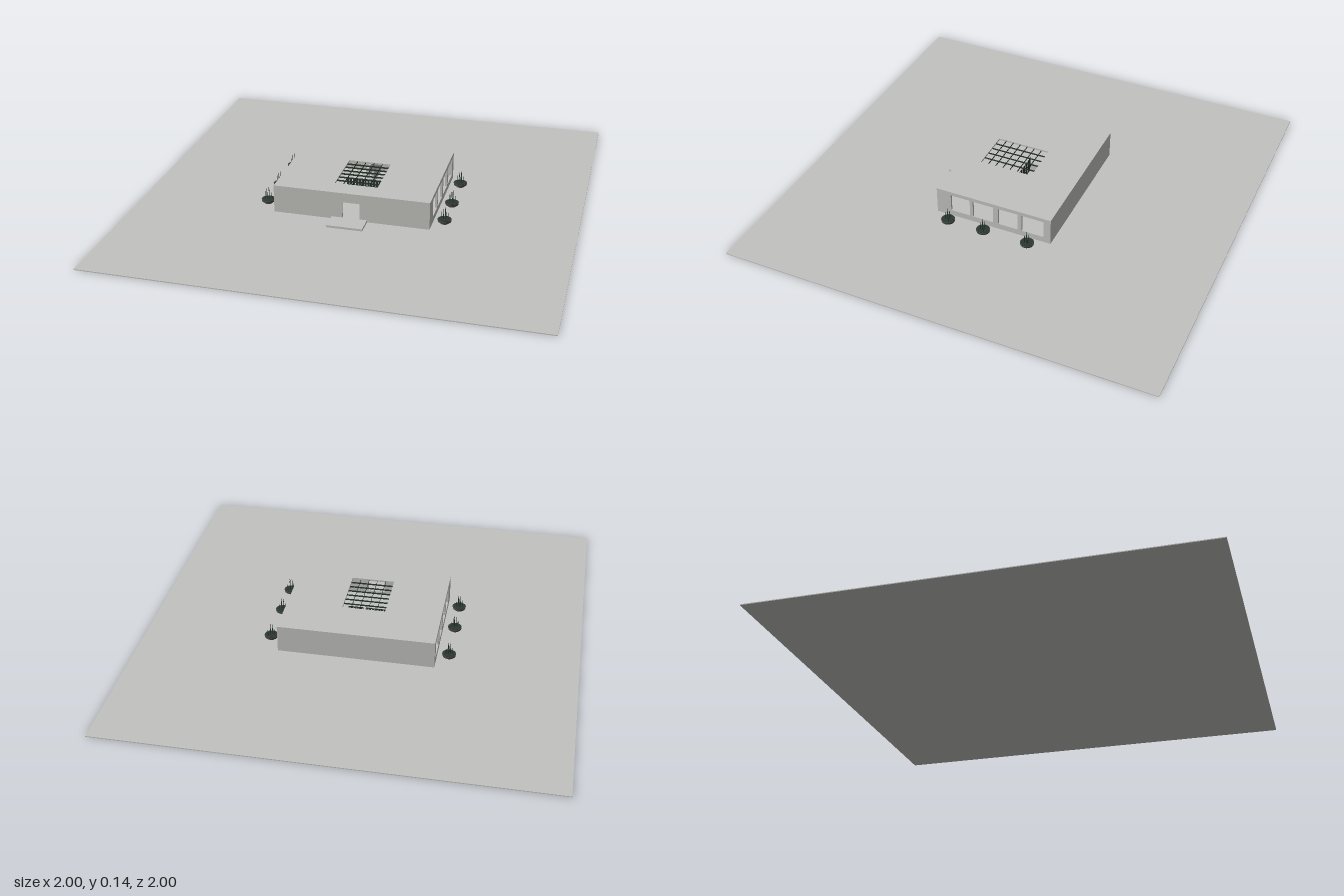
import * as THREE from 'three';

const mat = (name, color, side = THREE.FrontSide) => {
  const m = new THREE.MeshStandardMaterial({ color, side });
  m.name = name;
  return m;
};

export function createModel() {
  const model = new THREE.Group();
  model.name = 'pavilion';
  const concrete = mat('concrete', 0xc2c2bf);
  const leaf = mat('darkGreen', 0x2b382f, THREE.DoubleSide);
  const stem = mat('darkGrey', 0x4a4c4a);

  const add = (name, geo, material, x = 0, y = 0, z = 0, parent = model) => {
    const mesh = new THREE.Mesh(geo, material);
    mesh.name = name;
    mesh.position.set(x, y, z);
    parent.add(mesh);
    return mesh;
  };
  const box = (name, x0, x1, y0, y1, z0, z1, material = concrete) =>
    add(name, new THREE.BoxGeometry(x1 - x0, y1 - y0, z1 - z0), material,
      (x0 + x1) / 2, (y0 + y1) / 2, (z0 + z1) / 2);

  // Flat panel with rectangular holes, given as [u0, u1, v0, v1]
  const rect = (path, [u0, u1, v0, v1]) => {
    path.moveTo(u0, v0);
    path.lineTo(u1, v0);
    path.lineTo(u1, v1);
    path.lineTo(u0, v1);
    path.closePath();
    return path;
  };
  const panel = (outer, holes, depth) => {
    const shape = rect(new THREE.Shape(), outer);
    holes.forEach(h => shape.holes.push(rect(new THREE.Path(), h)));
    return new THREE.ExtrudeGeometry(shape, { depth, bevelEnabled: false });
  };

  // Ground and entrance step
  box('ground', -1, 1, 0, 0.004, -1, 1);
  box('entranceStep', -0.09, 0.075, 0.004, 0.014, 0.29, 0.38);

  // Front wall with a doorway, plain back wall
  add('frontWall', panel([-0.36, 0.36, 0.004, 0.127], [[-0.04, 0.04, 0.014, 0.09]], 0.01), concrete, 0, 0, 0.28);
  box('backWall', -0.36, 0.36, 0.004, 0.127, -0.27, -0.26);

  // Side walls with four windows each
  const windows = [[0.125, 0.22], [0.01, 0.11], [-0.11, -0.015], [-0.235, -0.13]]
    .map(([a, b]) => [-b, -a, 0.032, 0.117]);
  for (const x of [0.35, -0.36]) {
    const wall = add('sideWall', panel([-0.28, 0.26, 0.004, 0.127], windows, 0.01), concrete, x, 0, 0);
    wall.rotation.y = Math.PI / 2;
  }

  // Roof with its skylight opening
  const roof = add('roof', panel([-0.36, 0.36, -0.29, 0.27], [[-0.1, 0.1, -0.195, 0.06]], 0.008), concrete, 0, 0.127, 0);
  roof.rotation.x = -Math.PI / 2;

  // Thin upright slats in the skylight
  for (let i = 1; i < 7; i++) {
    add('skylightSlat', new THREE.PlaneGeometry(0.2, 0.008), leaf, 0, 0.131, -0.06 + i * 0.255 / 7);
  }
  for (let i = 1; i < 5; i++) {
    const slat = add('skylightCrossSlat', new THREE.PlaneGeometry(0.255, 0.008), leaf, -0.1 + i * 0.04, 0.131, 0.0675);
    slat.rotation.y = Math.PI / 2;
  }

  // Back room partitions
  box('partition', -0.005, 0.005, 0.004, 0.127, -0.26, -0.12);
  box('counter', -0.005, 0.005, 0.08, 0.127, -0.12, -0.015);

  // Barred screen facing the doorway
  for (let i = 0; i <= 12; i++) {
    add('screenBar', new THREE.PlaneGeometry(0.011, 0.072), leaf, -0.084 + i * 0.014, 0.05, 0.025);
  }
  for (const y of [0.016, 0.05, 0.084]) {
    add('screenRail', new THREE.PlaneGeometry(0.18, 0.005), leaf, 0, y, 0.0255);
  }

  // Octagonal floor ring with short outer marks
  const ring = add('floorRing', new THREE.RingGeometry(0.032, 0.035, 8), leaf, 0.02, 0.006, 0.025);
  ring.rotation.x = -Math.PI / 2;
  for (let i = 0; i < 16; i++) {
    const a = i * Math.PI / 8;
    const mark = add('ringMark', new THREE.BoxGeometry(0.008, 0.003, 0.003), leaf,
      0.02 + 0.048 * Math.cos(a), 0.006, 0.025 + 0.048 * Math.sin(a));
    mark.rotation.y = -a;
  }

  // Round planters along both sides
  const planter = new THREE.Group();
  planter.name = 'planter';
  add('planterFoot', new THREE.CylinderGeometry(0.018, 0.018, 0.01, 16), stem, 0, 0.009, 0, planter);
  add('planterDish', new THREE.CylinderGeometry(0.032, 0.03, 0.01, 20), stem, 0, 0.019, 0, planter);
  add('planterSoil', new THREE.CylinderGeometry(0.029, 0.029, 0.002, 20), leaf, 0, 0.0245, 0, planter);
  for (let i = 0; i < 6; i++) {
    const a = i * 2.4;
    const r = 0.004 + 0.0025 * i;
    const h = 0.058 - 0.006 * i;
    add('stalk', new THREE.CylinderGeometry(0.0012, 0.002, h, 5), leaf,
      r * Math.cos(a), 0.024 + h / 2, r * Math.sin(a), planter);
  }
  for (const x of [-0.415, 0.412]) {
    for (const z of [-0.18, 0.035, 0.21]) {
      const copy = planter.clone();
      copy.position.set(x, 0, z);
      model.add(copy);
    }
  }
  return model;
}
